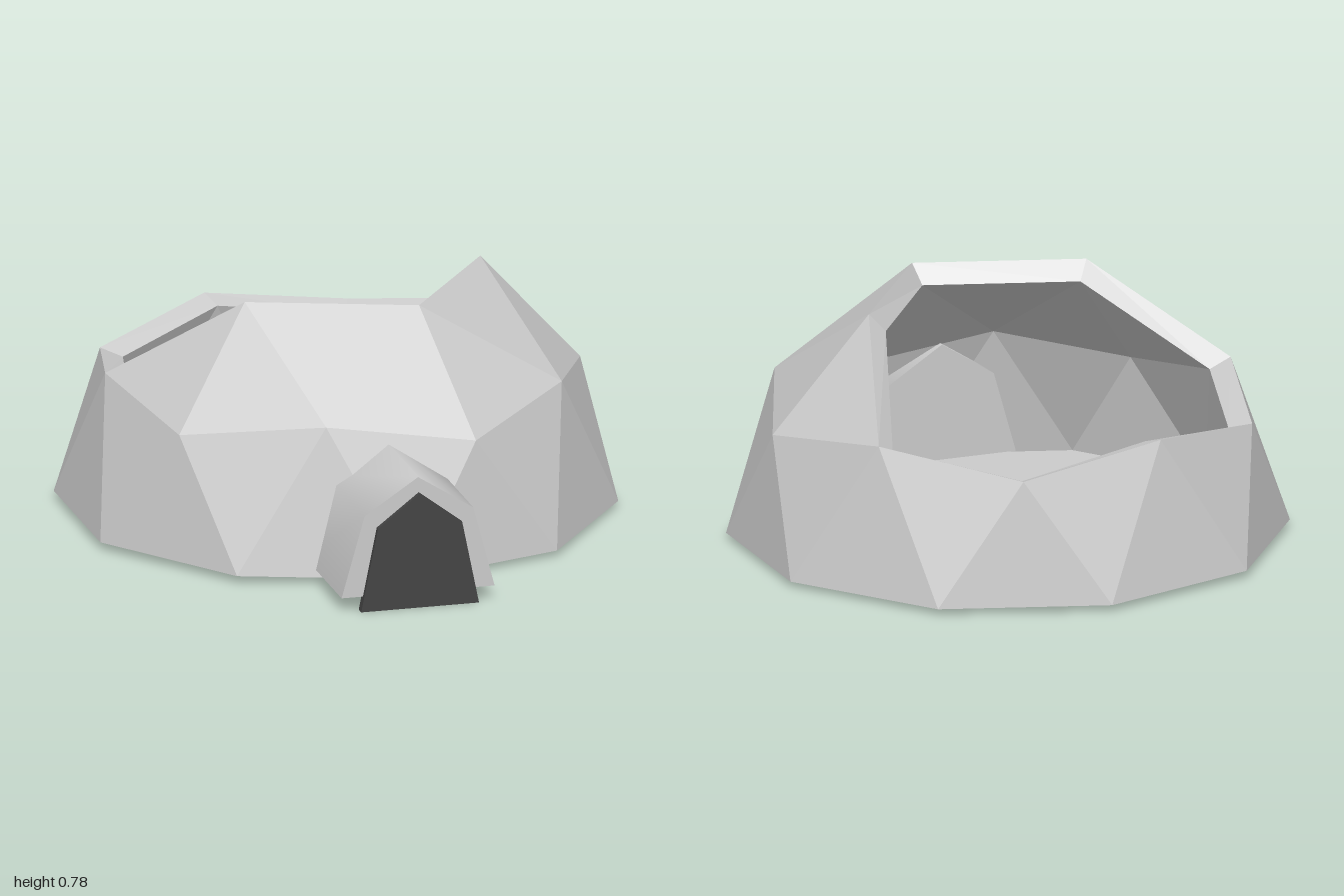
import * as THREE from 'three';
import { toCreasedNormals } from 'three/addons/utils/BufferGeometryUtils.js';

const R = 0.89, WALL = 0.08;
const grey = () => new THREE.MeshStandardMaterial({ color: 0xcccccc });

// Mesh from points and point indices, flat shaded
function facets(name, points, index) {
  const g = new THREE.BufferGeometry().setFromPoints(points);
  g.setIndex(index);
  const flat = g.toNonIndexed();
  flat.computeVertexNormals();
  const material = grey();
  material.flatShading = true;
  const mesh = new THREE.Mesh(flat, material);
  mesh.name = name;
  return mesh;
}

// Geodesic dome with part of the roof left open
function createDome() {
  const dome = new THREE.Group();
  dome.name = 'dome';
  const at = (polarDeg, angleDeg) => {
    const p = THREE.MathUtils.degToRad(polarDeg), a = THREE.MathUtils.degToRad(angleDeg);
    return new THREE.Vector3(Math.sin(p) * Math.cos(a), Math.cos(p), Math.sin(p) * Math.sin(a)).multiplyScalar(R);
  };

  // Three roof points, ten shoulder points, ten base points
  const outer = [];
  for (let k = 0; k < 3; k++) outer.push(at(31.72, 72 * k));
  for (let j = 0; j < 10; j++) outer.push(at(j % 2 ? 58.28 : 63.43, 36 * j));
  for (let j = 0; j < 10; j++) outer.push(at(90, 18 + 36 * j));
  const B = j => 3 + (j + 10) % 10, C = j => 13 + (j + 10) % 10;

  const faces = [];
  for (let k = 0; k < 3; k++) {
    faces.push(k, B(2 * k), B(2 * k - 1), k, B(2 * k + 1), B(2 * k));
    if (k < 2) faces.push(k, k + 1, B(2 * k + 1));
  }
  for (let j = 0; j < 10; j++) faces.push(B(j), C(j), C(j - 1), B(j), B(j + 1), C(j));

  // Inner wall: offset along the vertex normals
  const shell = new THREE.BufferGeometry().setFromPoints(outer);
  shell.setIndex(faces);
  shell.computeVertexNormals();
  const normals = shell.attributes.normal;
  const inner = outer.map((p, i) => {
    const n = new THREE.Vector3().fromBufferAttribute(normals, i);
    const q = p.clone().addScaledVector(n, -WALL);
    if (i >= 13) q.y = 0;
    return q;
  });
  dome.add(facets('outerWall', outer, faces));
  dome.add(facets('innerWall', inner, faces.slice().reverse()));

  // Rim around the opening
  const loop = [0, 1, 2, B(5), B(6), B(7), B(8), B(9)];
  const rim = [];
  loop.forEach((p, i) => {
    const q = loop[(i + 1) % loop.length], n = outer.length;
    rim.push(p, p + n, q + n, p, q + n, q);
  });
  dome.add(facets('rim', [...outer, ...inner], rim));

  // Floor
  const floorMaterial = grey();
  floorMaterial.side = THREE.DoubleSide;
  const floor = new THREE.Mesh(new THREE.CircleGeometry(R, 10, Math.PI / 10).rotateX(-Math.PI / 2), floorMaterial);
  floor.name = 'floor';
  dome.add(floor);

  dome.position.set(0, 0.025, -0.11);
  dome.rotation.z = -0.005;
  return dome;
}

// Five-sided arch extruded along z
function arch(name, points, z0, z1, color, crease) {
  const shape = new THREE.Shape(points.map(p => new THREE.Vector2(...p)));
  const g = new THREE.ExtrudeGeometry(shape, { depth: z1 - z0, bevelEnabled: false });
  g.translate(0, 0, z0);
  const mesh = new THREE.Mesh(toCreasedNormals(g, crease), new THREE.MeshStandardMaterial({ color }));
  mesh.name = name;
  return mesh;
}

export function createModel() {
  const model = new THREE.Group();
  model.name = 'domeHut';
  model.add(createDome());
  model.add(arch('entranceTunnel',
    [[-0.285, 0.05], [0.215, 0.05], [0.145, 0.315], [-0.035, 0.43], [-0.21, 0.315]],
    0.54, 0.985, 0xcccccc, 1.25));
  model.add(arch('doorway',
    [[-0.225, 0.003], [0.16, 0.003], [0.105, 0.275], [-0.033, 0.38], [-0.17, 0.275]],
    0.97, 1, 0x444444, 0.3));
  return model;
}
